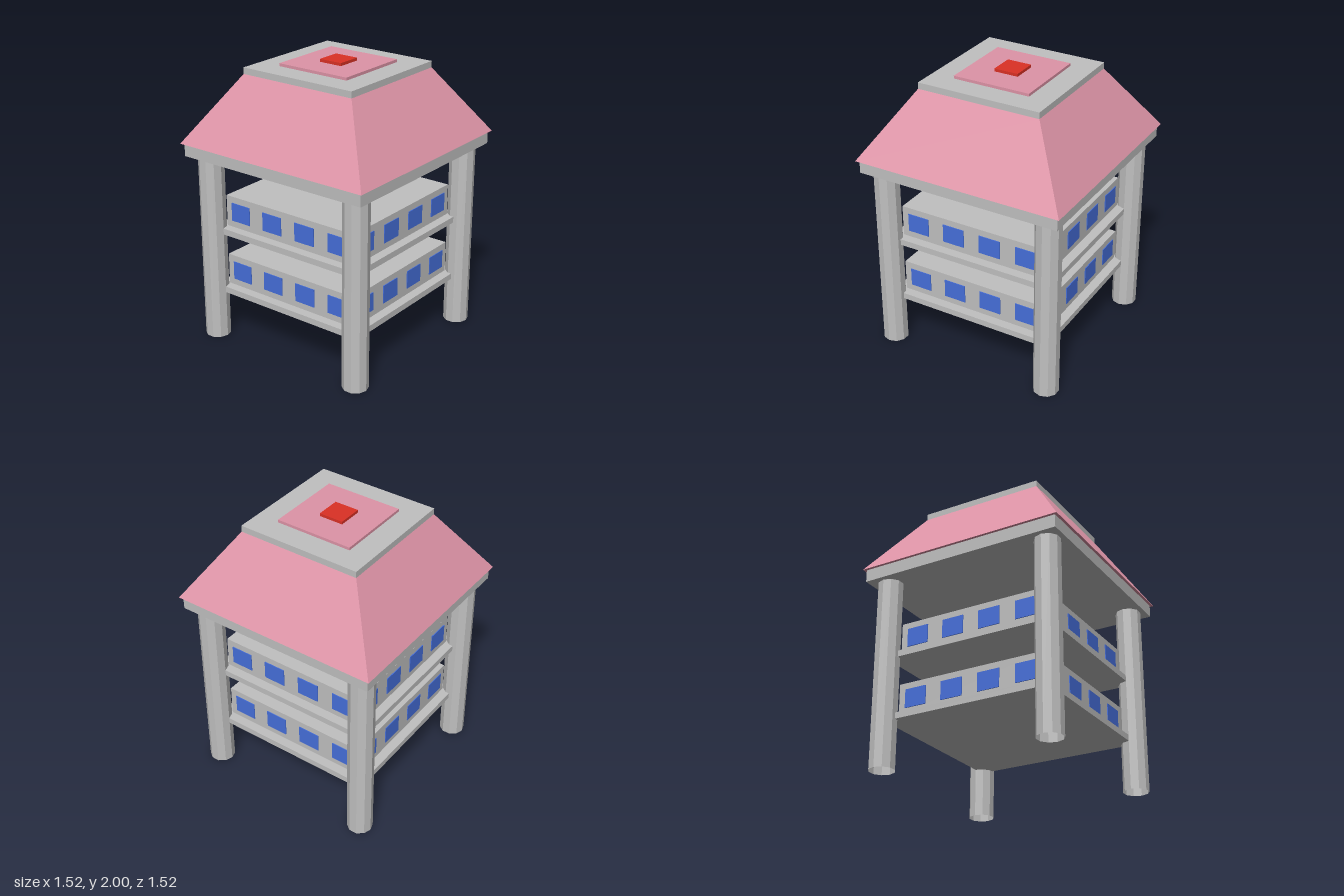
import * as THREE from 'three';

export function createModel() {
  const model = new THREE.Group();
  model.name = 'pavilion';

  const material = (name, color) => {
    const m = new THREE.MeshStandardMaterial({ color });
    m.name = name;
    return m;
  };
  const stone = material('stone grey', 0xc0c0c0);
  const pink = material('roof pink', 0xde94a7);
  const red = material('finial red', 0xdb3125);
  const blue = material('window blue', 0x466fdb);
  // columns are open tubes, so their inside shows from below
  const columnStone = stone;
  columnStone.side = THREE.DoubleSide;

  const add = (name, geometry, mat, parent = model) => {
    const mesh = new THREE.Mesh(geometry, mat);
    mesh.name = name;
    parent.add(mesh);
    return mesh;
  };

  // square slab given by half width, bottom and top
  const slab = (name, half, y0, y1, mat) => {
    const g = new THREE.BoxGeometry(half * 2, y1 - y0, half * 2);
    g.translate(0, (y0 + y1) / 2, 0);
    return add(name, g, mat);
  };

  // faceted geometry with one normal per face
  const faceted = (g) => {
    const flat = g.toNonIndexed();
    flat.computeVertexNormals();
    return flat;
  };

  // four ten-sided corner columns
  const columnGeometry = faceted(new THREE.CylinderGeometry(0.09, 0.09, 1.36, 10, 1, true));
  for (const x of [-0.617, 0.617]) {
    for (const z of [-0.617, 0.617]) {
      add('column', columnGeometry, columnStone).position.set(x, 0.68, z);
    }
  }

  // two storeys: projecting floor ledge, walls and a row of windows per side
  const windowGeometry = new THREE.BoxGeometry(0.162, 0.132, 0.008);
  for (const y of [0.343, 0.789]) {
    slab('floorLedge', 0.617, y, y + 0.044, stone);
    slab('storeyWall', 0.55, y + 0.044, y + 0.269, stone);
    for (let side = 0; side < 4; side++) {
      const row = new THREE.Group();
      row.name = 'windowRow';
      row.rotation.y = side * Math.PI / 2;
      for (const x of [-0.42, -0.14, 0.14, 0.42]) {
        add('window', windowGeometry, blue, row).position.set(x, y + 0.157, 0.552);
      }
      model.add(row);
    }
  }

  // beam under the roof
  slab('roofBeam', 0.74, 1.355, 1.445, stone);

  // truncated pyramid roof
  const roof = new THREE.CylinderGeometry(0.448 * Math.SQRT2, 0.76 * Math.SQRT2, 0.47, 4);
  roof.rotateY(Math.PI / 4);
  roof.translate(0, 1.68, 0);
  add('roof', faceted(roof), pink);

  // stepped plates on top
  slab('roofCap', 0.448, 1.915, 1.96, stone);
  slab('topPlate', 0.28, 1.96, 1.98, pink);
  slab('finial', 0.088, 1.98, 2.0, red);

  return model;
}
